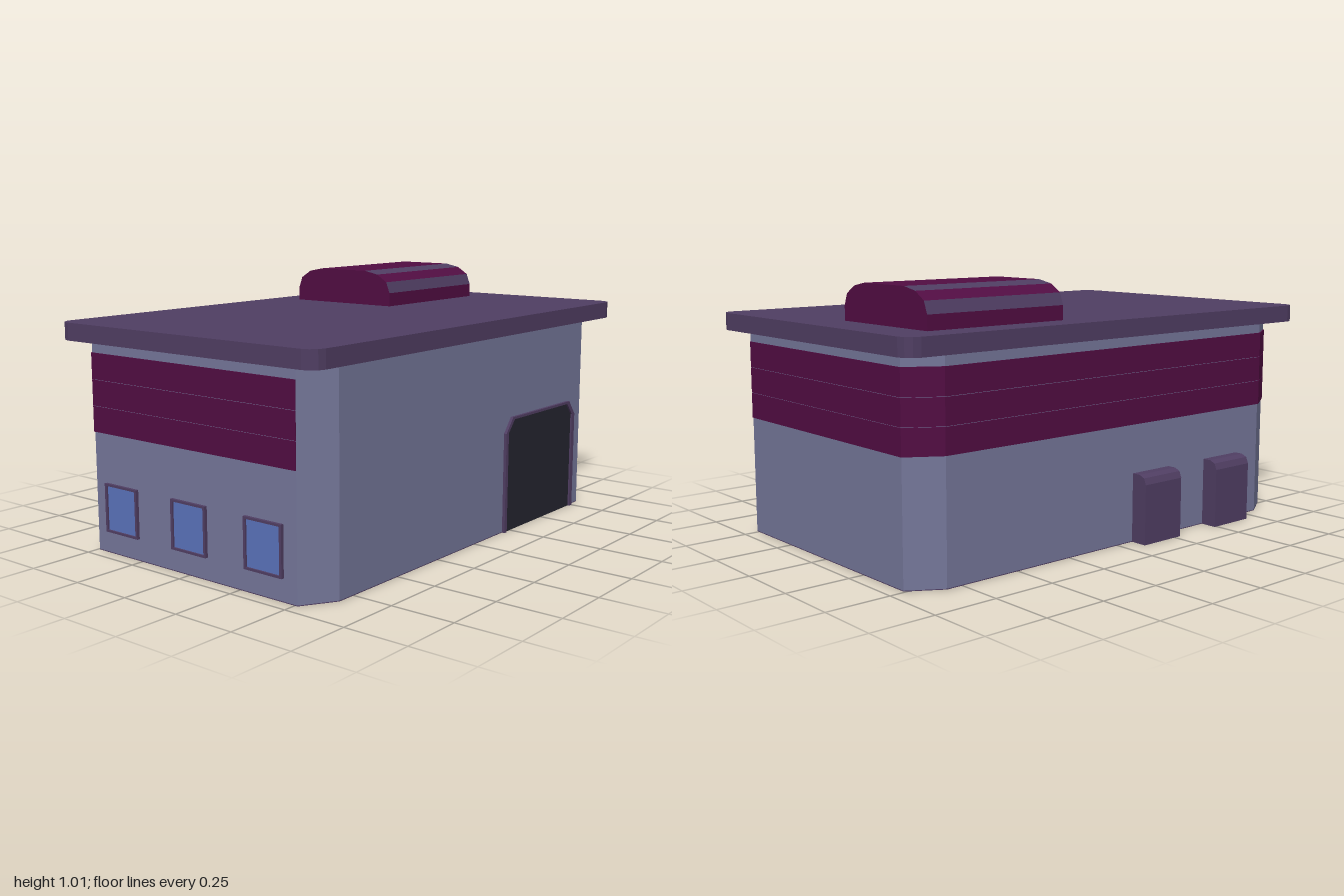
import * as THREE from 'three';

const mat = (name, color, extra = {}) => Object.assign(new THREE.MeshStandardMaterial({ color, ...extra }), { name });

export function createModel() {
  const wall = mat('wall grey', 0x75779a);
  const trim = mat('trim purple', 0x503e63);
  const accent = mat('accent magenta', 0x520d43);
  const glass = mat('window blue', 0x5a73bb);
  const dark = mat('door black', 0x25252f);

  const model = new THREE.Group();
  model.name = 'building';
  const add = (name, geometry, material, parent = model) => {
    const mesh = new THREE.Mesh(geometry, material);
    mesh.name = name;
    parent.add(mesh);
    return mesh;
  };
  const shapeOf = (pts) => new THREE.Shape(pts.map(([x, y]) => new THREE.Vector2(x, y)));
  const extrude = (shape, depth) => new THREE.ExtrudeGeometry(shape, { depth, bevelEnabled: false });
  // Upright prism over a footprint of [x, z] points
  const prism = (pts, y0, y1) =>
    extrude(shapeOf(pts.map(([x, z]) => [x, -z])), y1 - y0).rotateX(-Math.PI / 2).translate(0, y0, 0);

  // Main block with cut corners
  const L = -0.57, R = 0.59, F = 0.95, B = -0.94, cx = 0.078, cz = 0.125;
  add('walls', prism([
    [R - cx, F], [L + cx, F], [L, F - cz], [L, B + cz],
    [L + cx, B], [R - cx, B], [R, B + cz], [R, F - cz],
  ], 0.003, 0.81), wall);
  add('floor', prism([
    [R - cx, F], [L + cx, F], [L, F - cz], [L, B + cz],
    [L + cx, B], [R - cx, B], [R, B + cz], [R, F - cz],
  ], 0, 0.003), trim);

  // Cladding boards around the front, left-hand and back walls
  const o = 0.003;
  const bandPts = [
    [R - cx, F + o], [L + cx - o, F + o], [L - o, F - cz + o],
    [L - o, B + cz - o], [L + cx - o, B - o], [R - cx, B - o],
  ];
  for (let i = 0; i < 3; i++) {
    add('claddingBoard', prism(bandPts, 0.46 + i * 0.1, 0.558 + i * 0.1 + (i === 2 ? 0.002 : 0)), accent);
  }

  // Overhanging roof slab with rounded corners
  const roofPts = [], r = 0.055;
  [[0.635, 1, 0], [-0.62, 1, 1], [-0.62, -1, 2], [0.635, -1, 3]].forEach(([x, z, q]) => {
    const px = x - Math.sign(x) * r, pz = z - Math.sign(z) * r;
    for (let k = 0; k <= 3; k++) {
      const a = (q + k / 3) * Math.PI / 2;
      roofPts.push([px + r * Math.cos(a), pz + r * Math.sin(a)]);
    }
  });
  add('roof', prism(roofPts, 0.803, 0.87), trim);

  // Roof housing: striped faceted shell between two end caps
  const half = [[0.25, 0.868], [0.25, 0.925], [0.233, 0.97], [0.185, 1.0], [0.12, 1.013]];
  const profile = [...half, ...half.slice().reverse().map(([x, y]) => [-x, y])];
  const housing = new THREE.Group();
  housing.name = 'roofHousing';
  housing.position.x = -0.245;
  model.add(housing);
  const z0 = -0.83, z1 = -0.22;
  for (let i = 0; i < profile.length - 1; i++) {
    const [ax, ay] = profile[i], [bx, by] = profile[i + 1];
    const strip = new THREE.BufferGeometry();
    strip.setAttribute('position', new THREE.Float32BufferAttribute(
      [ax, ay, z1, ax, ay, z0, bx, by, z0, bx, by, z1], 3));
    strip.setIndex([0, 1, 2, 0, 2, 3]);
    strip.computeVertexNormals();
    add('housingStrip', strip, i % 2 ? trim : accent, housing);
  }
  const cap = () => new THREE.ShapeGeometry(shapeOf(profile));
  add('housingFrontCap', cap().translate(0, 0, z1), accent, housing);
  add('housingBackCap', cap().rotateY(Math.PI).translate(0, 0, z0), accent, housing);

  // Front windows
  const rect = (w, h) => [[-w / 2, -h / 2], [w / 2, -h / 2], [w / 2, h / 2], [-w / 2, h / 2]];
  for (const x of [-0.348, 0.008, 0.366]) {
    const win = new THREE.Group();
    win.name = 'window';
    win.position.set(x, 0.178, F);
    model.add(win);
    const ring = shapeOf(rect(0.174, 0.187));
    ring.holes.push(shapeOf(rect(0.154, 0.17)));
    add('windowFrame', extrude(ring, 0.012), trim, win);
    add('windowPane', new THREE.BoxGeometry(0.156, 0.172, 0.005).translate(0, 0, 0.0025), glass, win);
  }

  // Garage door on the right-hand wall, in a frame with cut corners
  const arch = (a, b, h, c) => [[a, 0], [b, 0], [b, h - c], [b - c * 0.8, h], [a + c * 0.8, h], [a, h - c]];
  const frame = shapeOf([
    ...arch(0.2, 0.752, 0.465, 0.06).slice(1),
    [0.2, 0], [0.217, 0], [0.217, 0.405], [0.26, 0.455], [0.687, 0.455], [0.73, 0.405], [0.73, 0],
  ]);
  add('doorFrame', extrude(frame, 0.012).rotateY(Math.PI / 2).translate(R, 0, 0), trim);
  add('garageDoor', extrude(shapeOf(arch(0.212, 0.735, 0.458, 0.055)), 0.005)
    .rotateY(Math.PI / 2).translate(R, 0, 0), dark);

  // Wall boxes on the left-hand side, rounded at the top outer edge
  for (const z of [0.08, 0.49]) {
    const box = shapeOf([[-0.56, 0], [-0.56, 0.27], [-0.605, 0.27], [-0.628, 0.26], [-0.638, 0.235], [-0.638, 0]]);
    add('wallBox', extrude(box, 0.2).translate(0, 0, z), trim);
  }

  return model;
}
